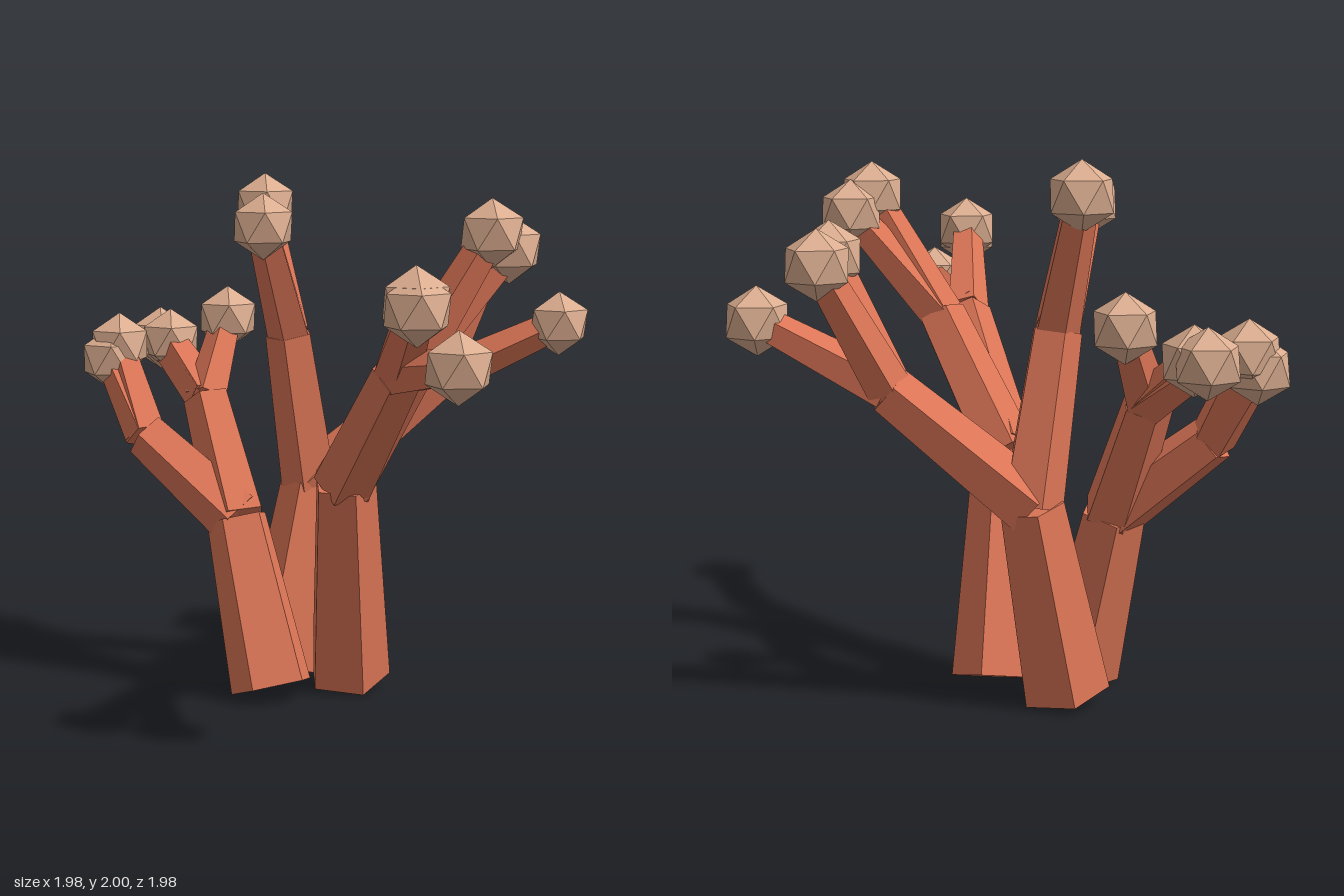
import * as THREE from 'three';

const bark = new THREE.MeshStandardMaterial({ color: 0xdd7657, flatShading: true });
bark.name = 'coralRed';
const tan = new THREE.MeshStandardMaterial({ color: 0xdcae90, flatShading: true });
tan.name = 'paleTan';

const UP = new THREE.Vector3(0, 1, 0);

// bottom and top radius for trunk, branch and twig
const RADII = [[0.166, 0.123], [0.118, 0.095], [0.088, 0.063]];
const NAMES = ['trunk', 'branch', 'twig'];

// each trunk: roll about its axis, base, top, then forks made of a joint and its tips
const TRUNKS = [
  {
    roll: -0.22, base: [-0.135, 0.045, -0.05], top: [-0.305, 0.68, -0.17],
    forks: [
      { joint: [-0.69, 0.985, -0.235], tips: [[-0.85, 1.32, -0.4], [-0.88, 1.265, -0.38]] },
      { joint: [-0.48, 1.12, -0.37], tips: [[-0.45, 1.42, -0.58], [-0.7, 1.32, -0.61], [-0.76, 1.32, -0.67]] },
    ],
  },
  {
    roll: 0.58, base: [0.115, 0.05, -0.27], top: [0.15, 0.86, -0.025],
    forks: [
      { joint: [0.45, 1.36, 0.11], tips: [[0.72, 1.817, 0.1], [0.77, 1.753, 0]] },
      { joint: [0.435, 1.335, 0.395], tips: [[0.59, 1.61, 0.88], [0.58, 1.63, 0.85], [0.73, 1.42, 0.88]] },
    ],
  },
  {
    roll: -0.15, base: [-0.18, 0.045, -0.375], top: [-0.09, 0.76, -0.515],
    forks: [
      { joint: [-0.15, 1.38, -0.395], tips: [[-0.295, 1.873, -0.585], [-0.18, 1.817, -0.095]] },
      { joint: [0.385, 1.18, -0.67], tips: [[0.565, 1.64, -0.885], [0.59, 1.655, -0.7], [0.875, 1.415, -0.685]] },
    ],
  },
];

export function createModel() {
  const model = new THREE.Group();
  model.name = 'branchingCoral';

  // icosahedron turned so one corner points straight up
  const budGeometry = new THREE.IcosahedronGeometry(0.127, 0);
  budGeometry.rotateZ(-Math.atan(2 / (1 + Math.sqrt(5))));

  // five-sided tapered limb between two points
  function addLimb(from, to, level, roll = 0) {
    const a = new THREE.Vector3(...from);
    const b = new THREE.Vector3(...to);
    const dir = b.clone().sub(a);
    const [r0, r1] = RADII[level];
    const geometry = new THREE.CylinderGeometry(r1, r0, dir.length(), 5).rotateY(roll);
    const limb = new THREE.Mesh(geometry, bark);
    limb.position.copy(a).add(b).multiplyScalar(0.5);
    limb.quaternion.setFromUnitVectors(UP, dir.normalize());
    limb.name = NAMES[level];
    model.add(limb);
  }

  for (const { roll, base, top, forks } of TRUNKS) {
    addLimb(base, top, 0, roll);
    for (const { joint, tips } of forks) {
      addLimb(top, joint, 1);
      for (const tip of tips) {
        addLimb(joint, tip, 2);
        const bud = new THREE.Mesh(budGeometry, tan);
        bud.position.set(...tip);
        bud.name = 'bud';
        model.add(bud);
      }
    }
  }
  return model;
}
